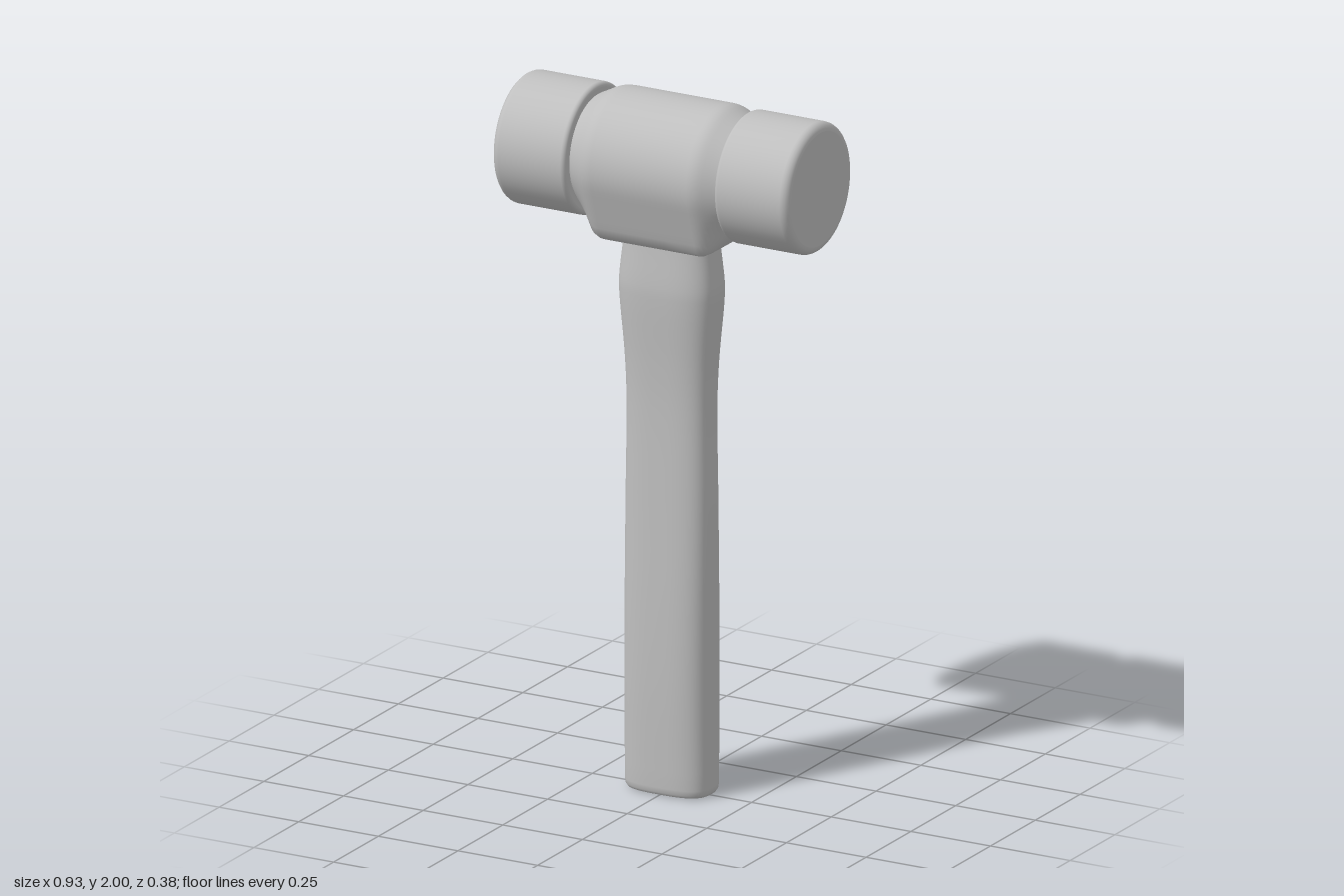
import * as THREE from 'three';

const SEGMENTS = 64;
const HEAD_Y = 1.81;

// Skin over closed rings (anticlockwise seen from the far end), flat ends
function loft(rings) {
  const n = SEGMENTS, pos = [], idx = [];
  rings.forEach((ring) => ring.forEach((p) => pos.push(p.x, p.y, p.z)));
  for (let i = 0; i < rings.length - 1; i++) {
    for (let j = 0; j < n; j++) {
      const k = (j + 1) % n;
      const a = i * n + j, b = i * n + k, c = b + n, d = a + n;
      idx.push(a, b, c, a, c, d);
    }
  }
  [rings[0], rings[rings.length - 1]].forEach((ring, end) => {
    const base = pos.length / 3;
    ring.forEach((p) => pos.push(p.x, p.y, p.z));
    for (let j = 1; j < n - 1; j++) {
      if (end) idx.push(base, base + j, base + j + 1);
      else idx.push(base, base + j + 1, base + j);
    }
  });
  const geo = new THREE.BufferGeometry();
  geo.setAttribute('position', new THREE.Float32BufferAttribute(pos, 3));
  geo.setIndex(idx);
  geo.computeVertexNormals();
  return geo;
}

const angles = Array.from({ length: SEGMENTS }, (_, j) => (j / SEGMENTS) * Math.PI * 2);

// Rounded-rectangle handle section: half width, height, half depth
function handleRing({ x: hx, y, z: hz }) {
  const soft = (v) => Math.sign(v) * Math.pow(Math.abs(v), 0.68);
  return angles.map((t) => new THREE.Vector3(hx * soft(Math.cos(t)), y, -hz * soft(Math.sin(t))));
}

// Body section radius: round on top, tapering to a flat underside
function bodyRadius(t) {
  const below = Math.asin(-Math.cos(t)); // angle under the horizontal
  const tilt = 0.31;
  if (below < tilt) return 0.19;
  const side = Math.cos(below - tilt) / 0.19;
  const floor = Math.sin(below) / 0.215;
  return 1 / Math.pow(Math.pow(side, 22) + Math.pow(floor, 22), 1 / 22);
}

function bodyRing([x, blend]) {
  return angles.map((t) => {
    const r = THREE.MathUtils.lerp(0.16, bodyRadius(t), blend);
    return new THREE.Vector3(x, HEAD_Y + r * Math.cos(t), r * Math.sin(t));
  });
}

export function createModel() {
  const group = new THREE.Group();
  const grey = new THREE.MeshStandardMaterial({ color: 0xbfbfbf });
  grey.name = 'grey';
  const add = (name, geo) => {
    const mesh = new THREE.Mesh(geo, grey);
    mesh.name = name;
    group.add(mesh);
    return mesh;
  };

  // Handle: rounded butt, slim grip, swelling just under the head
  const profile = new THREE.CatmullRomCurve3([
    [0.131, 0.025, 0.081], [0.131, 0.3, 0.086], [0.131, 0.55, 0.084], [0.13, 0.85, 0.077],
    [0.128, 1.12, 0.073], [0.133, 1.25, 0.077], [0.147, 1.42, 0.088], [0.148, 1.47, 0.089],
    [0.136, 1.59, 0.08], [0.132, 1.66, 0.078],
  ].map((p) => new THREE.Vector3(...p)));
  const butt = [[0.115, 0, 0.066], [0.124, 0.003, 0.074], [0.129, 0.011, 0.079]]
    .map((p) => new THREE.Vector3(...p));
  add('handle', loft([...butt, ...profile.getPoints(50)].map(handleRing)));

  // Head body, mirrored about its middle
  const half = [[0.23, 0], [0.218, 0.2], [0.205, 0.42], [0.193, 0.63], [0.183, 0.79],
    [0.173, 0.91], [0.162, 0.98], [0.15, 1], [0.05, 1]];
  const stations = [...half.map(([x, b]) => [-x, b]), ...half.slice().reverse()];
  add('headBody', loft(stations.map(bodyRing)));

  // Striking faces: edge-rounded discs, with a short neck behind each
  const rim = (cx, cy, r, from) => Array.from({ length: 6 }, (_, i) => {
    const a = from + (i / 5) * (Math.PI / 2);
    return new THREE.Vector2(cx + r * Math.cos(a), cy + r * Math.sin(a));
  });
  const section = [
    ...rim(0.173, 0.247, 0.013, -Math.PI / 2),
    ...rim(0.162, 0.441, 0.024, 0),
  ];
  for (const side of [1, -1]) {
    const name = side > 0 ? 'left' : 'right';
    const face = add(name + 'StrikingFace', new THREE.LatheGeometry(section, SEGMENTS));
    const ends = [[0.234, 0.173, Math.PI / 2], [0.465, 0.162, -Math.PI / 2]];
    for (const [y, r, turn] of ends) {
      const disc = new THREE.Mesh(new THREE.CircleGeometry(r, SEGMENTS), grey);
      disc.name = y > 0.3 ? 'facePlate' : 'backPlate';
      disc.position.y = y;
      disc.rotation.x = turn;
      face.add(disc);
    }
    face.rotation.z = -side * Math.PI / 2;
    face.position.y = HEAD_Y;

    const neck = add(name + 'Neck', new THREE.CylinderGeometry(0.157, 0.157, 0.05, SEGMENTS, 1, true));
    neck.rotation.z = Math.PI / 2;
    neck.position.set(side * 0.23, HEAD_Y, 0);
  }
  return group;
}
